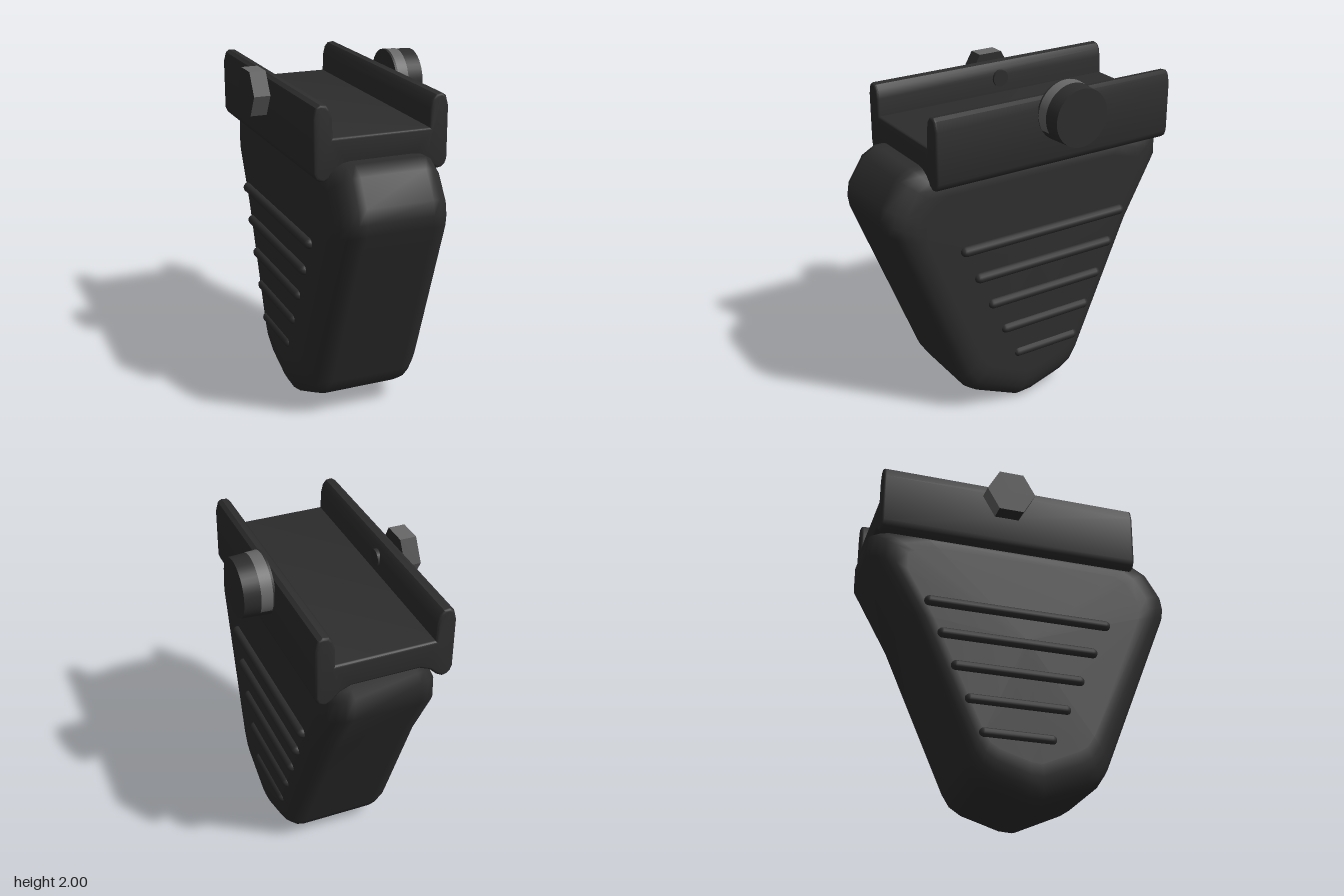
import * as THREE from 'three';
import { toCreasedNormals } from 'three/addons/utils/BufferGeometryUtils.js';

const CX = -0.035;            // centre plane of grip and rail clamp
const CLAMP_Y = 1.825, CLAMP_Z = -0.135;

// half width of the grip, slightly wider at the foot
const halfWidth = (y) => 0.36 - 0.023 * y;

// Side profile (z, y) lofted across x, shrinking towards each flank to round its edges
function gripGeometry() {
  const profile = [
    [0.1, 0], [0.38, 0.125], [0.44, 0.165], [0.495, 0.25], [0.9, 1.27], [0.912, 1.34],
    [0.9, 1.42], [0.81, 1.565], [0.73, 1.61], [-0.68, 1.61], [-0.86, 1.56], [-0.91, 1.535],
    [-0.91, 1.4], [-0.7, 1.03], [-0.325, 0.19], [-0.28, 0.12], [-0.21, 0.075], [0.02, 0.005],
  ];
  const n = profile.length, steps = 5, radius = 0.14, shrink = 0.23;
  const mid = [0, 0.95];
  const pos = [], index = [];
  const rows = [];
  for (let j = 0; j <= steps; j++) rows.push([-1, 1 - j / steps]);
  for (let j = 0; j <= steps; j++) rows.push([1, j / steps]);
  for (const [side, t] of rows) {
    const a = t * Math.PI / 2, k = shrink * (1 - Math.cos(a));
    for (const [pz, py] of profile) {
      const z = pz + (mid[0] - pz) * k, y = py + (mid[1] - py) * k;
      pos.push(CX + side * (halfWidth(y) - radius * (1 - Math.sin(a))), y, z);
    }
  }
  const last = rows.length - 1;
  for (let j = 0; j < last; j++) {
    for (let i = 0; i < n; i++) {
      const a = j * n + i, b = j * n + (i + 1) % n;
      index.push(a, a + n, b + n, a, b + n, b);
    }
  }
  // flat flanks
  const c = rows.length * n;
  for (const side of [-1, 1]) pos.push(CX + side * halfWidth(mid[1]), mid[1], mid[0]);
  for (let i = 0; i < n; i++) {
    const k = (i + 1) % n;
    index.push(c, i, k, c + 1, last * n + k, last * n + i);
  }
  const g = new THREE.BufferGeometry();
  g.setAttribute('position', new THREE.Float32BufferAttribute(pos, 3));
  g.setIndex(index);
  g.computeVertexNormals();
  return g;
}

// U-shaped channel with rounded lips and a hollowed underside
function railGeometry() {
  const half = [
    [0.275, 1.74], [0.278, 1.84], [0.29, 1.89], [0.31, 1.915], [0.345, 1.92], [0.367, 1.905],
    [0.382, 1.85], [0.382, 1.56], [0.37, 1.53], [0.35, 1.515], [0.325, 1.51], [0.29, 1.53],
    [0.25, 1.57], [0.19, 1.595],
  ];
  const pts = [...half.map(([x, y]) => [x, y]), ...half.map(([x, y]) => [-x, y]).reverse()];
  const shape = new THREE.Shape(pts.map(([x, y]) => new THREE.Vector2(x, y)));
  const bevel = 0.014;
  const g = new THREE.ExtrudeGeometry(shape, {
    depth: 1.535 - 2 * bevel, bevelEnabled: true, bevelSize: bevel, bevelThickness: bevel,
    bevelOffset: -bevel, bevelSegments: 3,
  });
  g.translate(CX, 0, -0.87 + bevel);
  return toCreasedNormals(g, 0.7);
}

export function createModel() {
  const group = new THREE.Group();
  const black = new THREE.MeshStandardMaterial({ color: 0x2d2d2d });
  black.name = 'matte black';
  const steel = new THREE.MeshStandardMaterial({ color: 0x686868 });
  steel.name = 'worn steel';

  const add = (name, geometry, material, x = 0, y = 0, z = 0) => {
    const mesh = new THREE.Mesh(geometry, material);
    mesh.name = name;
    mesh.position.set(x, y, z);
    group.add(mesh);
    return mesh;
  };

  add('grip', gripGeometry(), black);
  add('railChannel', railGeometry(), black);

  // finger ribs on both flanks, shorter towards the foot
  for (let i = 0; i < 5; i++) {
    const front = 0.505 - i * 0.085, back = -0.6 + i * 0.08, r = 0.03;
    const rib = new THREE.CapsuleGeometry(r, front - back - 2 * r, 5, 12);
    rib.rotateX(Math.PI / 2);
    for (const side of [-1, 1]) {
      add(side > 0 ? 'leftRib' : 'rightRib', rib, black,
        CX + side * 0.34, 1.11 - i * 0.1865, (front + back) / 2);
    }
  }

  // clamp bolt through the channel walls
  const bolt = new THREE.CylinderGeometry(0.05, 0.05, 0.2, 16);
  bolt.rotateZ(Math.PI / 2);
  add('boltLeft', bolt, black, 0.36, CLAMP_Y, CLAMP_Z);
  add('boltRight', bolt, black, -0.4, CLAMP_Y, CLAMP_Z);

  // round clamp knob, narrowing outwards, with a worn band over its upper part
  const knob = new THREE.CylinderGeometry(0.174, 0.165, 0.17, 40);
  knob.rotateZ(Math.PI / 2);
  add('clampKnob', knob, black, 0.425, CLAMP_Y, CLAMP_Z);
  const band = new THREE.CylinderGeometry(0.1745, 0.1715, 0.065, 32, 1, true, -Math.PI / 6, Math.PI * 4 / 3);
  band.rotateZ(Math.PI / 2);
  add('knobWear', band, steel, 0.385, CLAMP_Y, CLAMP_Z);

  // hexagonal nut: alternate sides worn bright, ends dark
  const nut = new THREE.CylinderGeometry(0.145, 0.145, 0.095, 6).toNonIndexed();
  nut.computeVertexNormals();
  nut.clearGroups();
  for (let i = 0; i < 6; i++) nut.addGroup(i * 6, 6, i % 2);
  nut.addGroup(36, 36, 0);
  nut.rotateZ(Math.PI / 2);
  add('clampNut', nut, [black, steel], -0.4645, CLAMP_Y, CLAMP_Z);

  return group;
}
